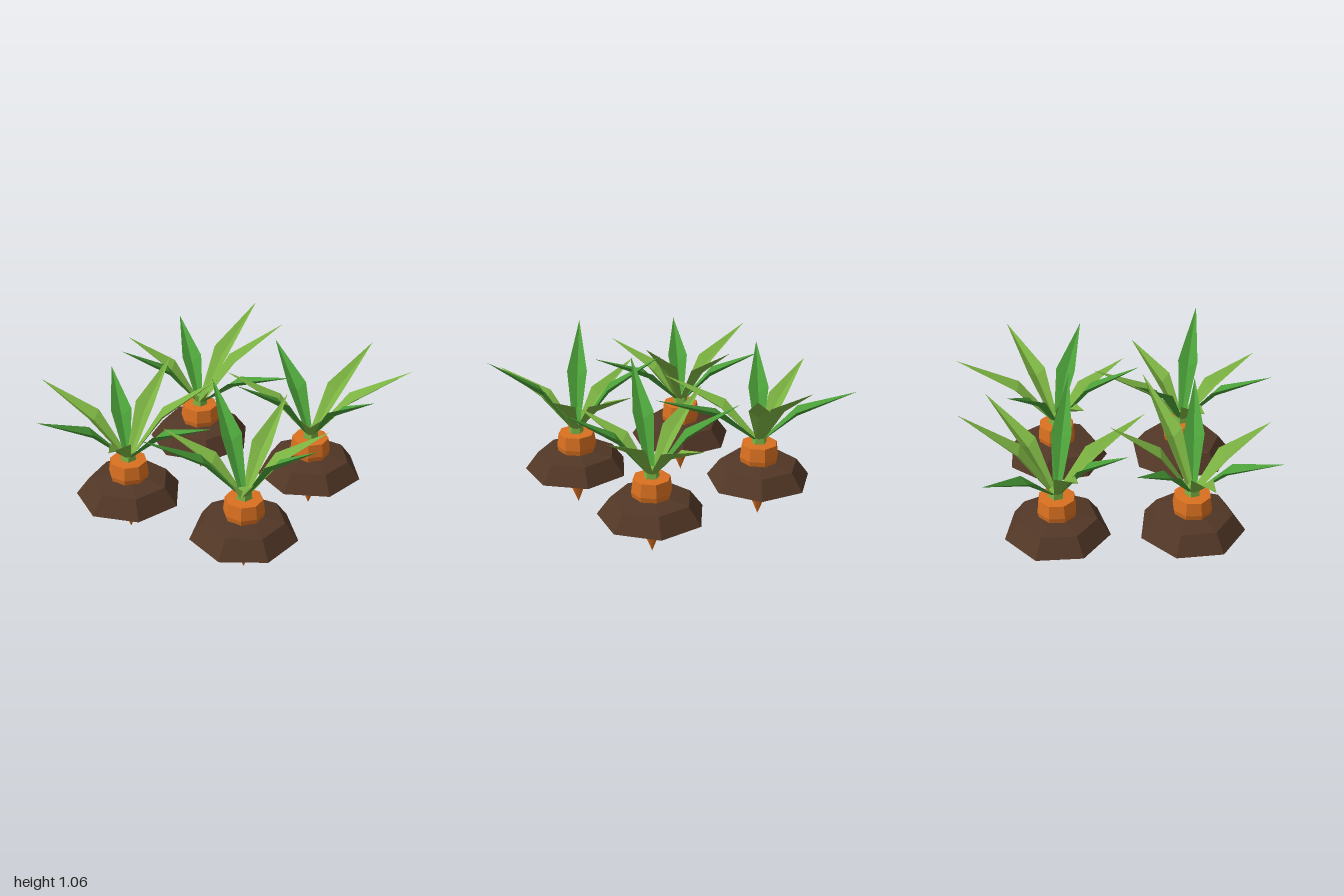
import * as THREE from 'three';

const flat = (color, name, side = THREE.FrontSide) => {
  const m = new THREE.MeshStandardMaterial({ color, flatShading: true, side });
  m.name = name;
  return m;
};

// Each plant: centre, soil rotation in degrees, leaf tips [x, y, z] in model space
const PLANTS = [
  { x: -0.39, z: -0.35, turn: 49, tips: [
    [-0.30, 1.03, -0.92], [-0.01, 1.0, -0.77], [0.34, 0.93, -0.26], [-0.05, 0.86, 0.2],
    [-0.70, 0.98, 0.07], [-0.86, 0.92, -0.22], [-0.81, 0.87, -0.76]] },
  { x: 0.44, z: -0.35, turn: 39, tips: [
    [0.54, 0.92, -0.99], [0.96, 0.96, -0.67], [0.94, 0.965, -0.18], [0.66, 0.85, 0.1],
    [0.21, 1.04, 0.18], [-0.07, 0.9, -0.17], [0.01, 0.95, -0.64]] },
  { x: -0.39, z: 0.475, turn: 46, tips: [
    [-0.40, 0.99, -0.03], [0.09, 1.06, 0.19], [0.25, 0.93, 0.53], [-0.17, 0.86, 0.96],
    [-0.69, 0.9, 0.96], [-0.98, 0.92, 0.54], [-0.76, 0.88, 0.11]] },
  { x: 0.44, z: 0.475, turn: 34, tips: [
    [0.40, 0.91, -0.1], [0.82, 0.9, 0.16], [0.98, 1.05, 0.6], [0.70, 0.85, 0.96],
    [0.07, 1.03, 0.985], [-0.07, 0.86, 0.565], [0.01, 1.02, 0.135]] },
];

const lathe = (pts, sides, start = 0) =>
  new THREE.LatheGeometry(pts.map(([r, y]) => new THREE.Vector2(r, y)), sides, start);

// Folded leaf: narrow base, wide middle with raised edges, pointed tip
function leafGeometry(dx, tipY, dz) {
  const reach = Math.hypot(dx, dz);
  const baseY = 0.51;
  const midY = baseY + (tipY - baseY) * 0.5;
  // sections: distance out, height of fold, half width, lift of edges
  const sections = [
    [0.02, baseY, 0.022, 0.01],
    [reach * 0.39, midY, 0.064, 0.045],
    [reach, tipY, 0, 0],
  ];
  const pos = [];
  for (const [r, y, w, lift] of sections) {
    pos.push(r, y + lift, -w, r, y, 0, r, y + lift, w);
  }
  const index = [0, 1, 3, 1, 4, 3, 1, 2, 4, 2, 5, 4, 3, 4, 7, 4, 5, 7].reverse();
  const g = new THREE.BufferGeometry();
  g.setAttribute('position', new THREE.Float32BufferAttribute(pos, 3));
  g.setIndex(index);
  g.rotateY(-Math.atan2(dz, dx));
  g.computeVertexNormals();
  return g;
}

export function createModel() {
  const soil = flat(0x523726, 'soil brown');
  const orange = flat(0xd97020, 'root orange');
  const lightLeaf = flat(0x7cb342, 'light leaf green', THREE.DoubleSide);
  const darkLeaf = flat(0x4a9e38, 'deep leaf green', THREE.DoubleSide);

  const rootGeo = lathe([
    [0, 0], [0.095, 0.24], [0.115, 0.355], [0.126, 0.41], [0.115, 0.495], [0, 0.5],
  ], 8, Math.PI / 8);
  const stemGeo = new THREE.CylinderGeometry(0.044, 0.05, 0.06, 5);
  const moundProfile = [[0, 0.245], [0.332, 0.245], [0.25, 0.357], [0.1, 0.382], [0, 0.382]];

  const model = new THREE.Group();
  model.name = 'carrotPatch';

  PLANTS.forEach(({ x, z, turn, tips }) => {
    const plant = new THREE.Group();
    plant.name = 'carrotPlant';
    plant.position.set(x, 0, z);
    const add = (geo, mat, name) => {
      const mesh = new THREE.Mesh(geo, mat);
      mesh.name = name;
      plant.add(mesh);
      return mesh;
    };

    // Seven-sided mound of earth around the root
    add(lathe(moundProfile, 7, Math.PI / 2 - THREE.MathUtils.degToRad(turn)), soil, 'soilMound');
    add(rootGeo, orange, 'carrotRoot');

    // Short five-sided stem
    const stem = add(stemGeo, lightLeaf, 'stem');
    stem.position.y = 0.52;
    stem.rotation.y = Math.PI;

    // Seven leaves alternating between the two greens
    tips.forEach(([tx, ty, tz], i) => {
      const mat = i > 0 && i % 2 === 0 ? darkLeaf : lightLeaf;
      add(leafGeometry(tx - x, ty, tz - z), mat, 'leaf');
    });
    model.add(plant);
  });

  return model;
}
